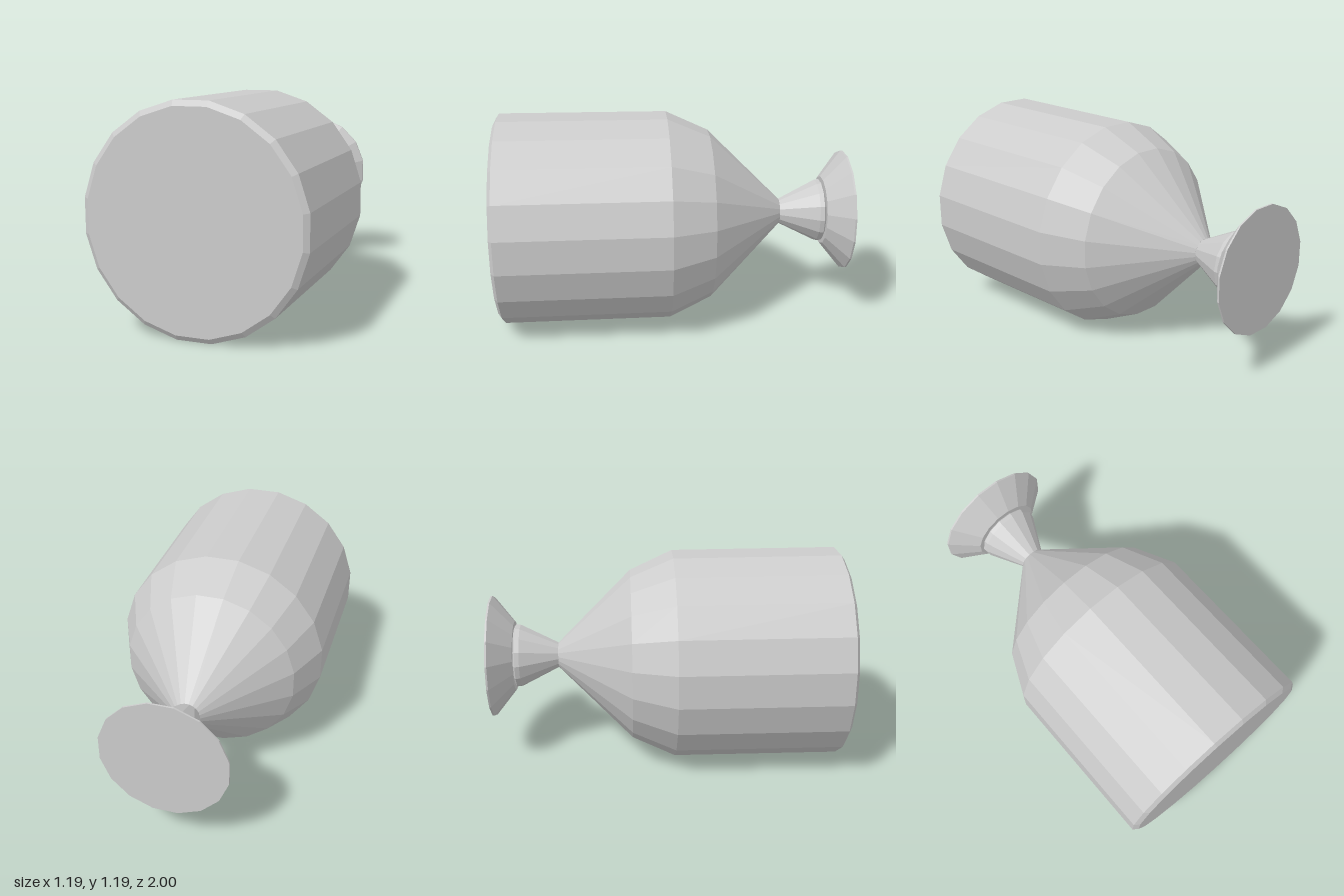
import * as THREE from 'three';

const AXIS_Y = 0.597;

// Faceted solid turned around the z axis; profile is [radius, z] from back to front
function turned(name, profile, sides) {
  const points = profile.map(([r, z]) => new THREE.Vector2(r, z));
  const geometry = new THREE.LatheGeometry(points, sides, Math.PI / sides);
  geometry.rotateX(Math.PI / 2);
  const material = new THREE.MeshStandardMaterial({ color: 0xcccccc, flatShading: true });
  const mesh = new THREE.Mesh(geometry, material);
  mesh.name = name;
  mesh.position.y = AXIS_Y;
  return mesh;
}

export function createModel() {
  const group = new THREE.Group();
  group.name = 'plunger';

  // Flared disc at the back
  group.add(turned('flaredFoot', [
    [0, -1], [0.35, -1], [0.35, -0.99], [0.2, -0.87], [0, -0.87],
  ], 16));

  // Waisted stem widening into a collar against the disc
  group.add(turned('stem', [
    [0.17, -0.87], [0.183, -0.86], [0.18, -0.835], [0.072, -0.62],
  ], 14));

  // Large barrel with a conical shoulder and bevelled front rim
  group.add(turned('barrel', [
    [0, -0.62], [0.072, -0.62], [0.49, -0.2], [0.6, 0.04],
    [0.604, 0.98], [0.575, 1], [0, 1],
  ], 20));

  return group;
}
